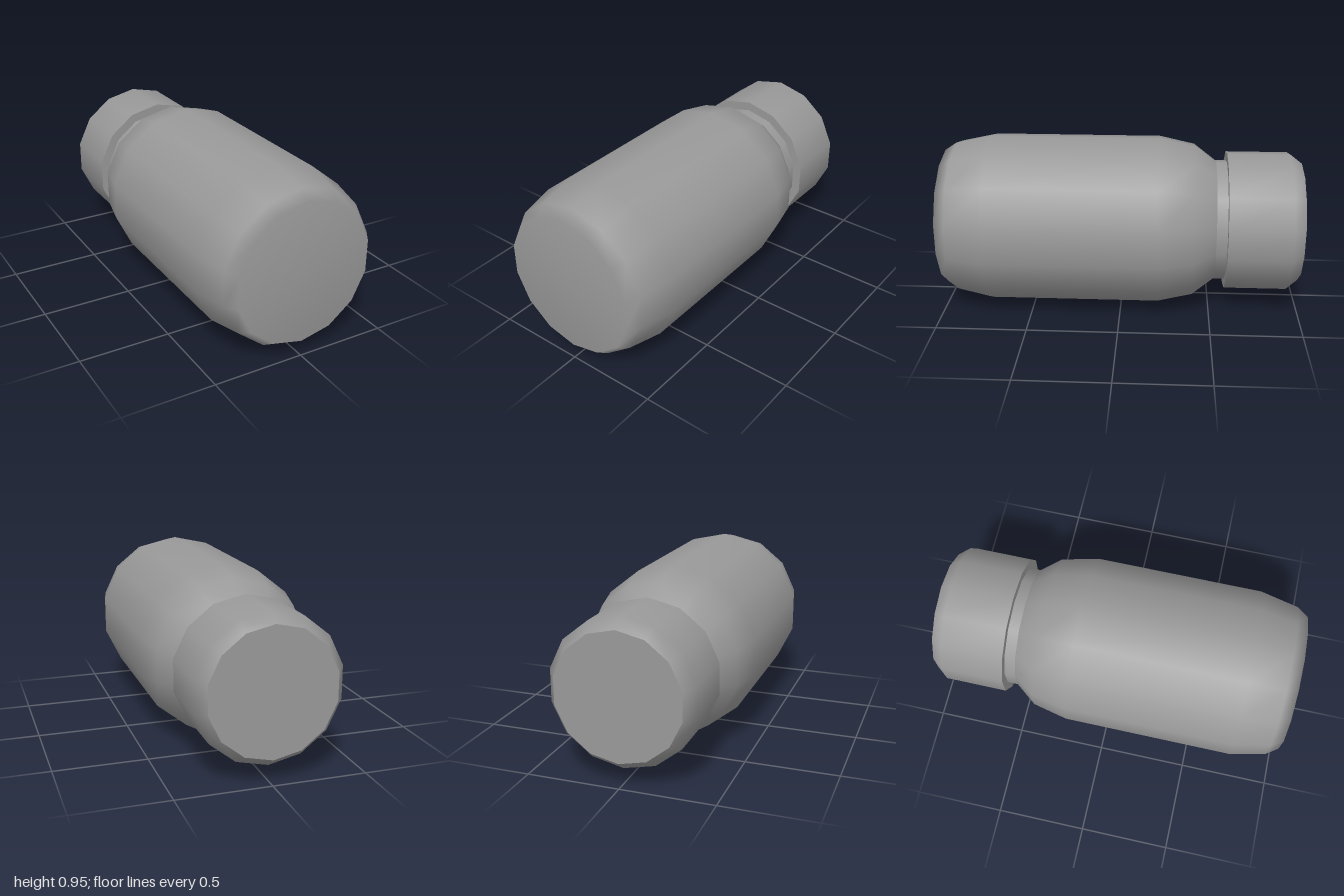
import * as THREE from 'three';

const SIDES = 14;
const AXIS_HEIGHT = 0.475;

export function createModel() {
  const model = new THREE.Group();
  model.name = 'bottle';
  const grey = new THREE.MeshStandardMaterial({ color: 0x999999 });
  grey.name = 'grey';

  // Revolves [radius, z] points, listed from back to front, around the lying axis
  function turned(name, profile, parent) {
    const points = profile.map(([r, z]) => new THREE.Vector2(r, z));
    const geometry = new THREE.LatheGeometry(points, SIDES);
    geometry.rotateX(Math.PI / 2);
    geometry.translate(0, AXIS_HEIGHT, 0);
    const mesh = new THREE.Mesh(geometry, grey);
    mesh.name = name;
    parent.add(mesh);
  }

  // Body: shoulder, straight wall and softly rounded base facing the front
  turned('body', [
    [0.34, -0.525], [0.432, -0.405], [0.475, -0.21], [0.475, 0.735],
    [0.432, 0.935], [0.388, 1], [0, 1],
  ], model);

  // Neck: short sharp-edged ring between shoulder and cap
  turned('neck', [[0.34, -0.585], [0.34, -0.525]], model);

  // Cap: bevelled wall with a flat top and a flat lip
  const cap = new THREE.Group();
  cap.name = 'cap';
  model.add(cap);
  turned('capTop', [[0, -1], [0.34, -1]], cap);
  turned('capWall', [[0.34, -1], [0.391, -0.935], [0.391, -0.585]], cap);
  turned('capLip', [[0.391, -0.585], [0.34, -0.585]], cap);

  return model;
}
